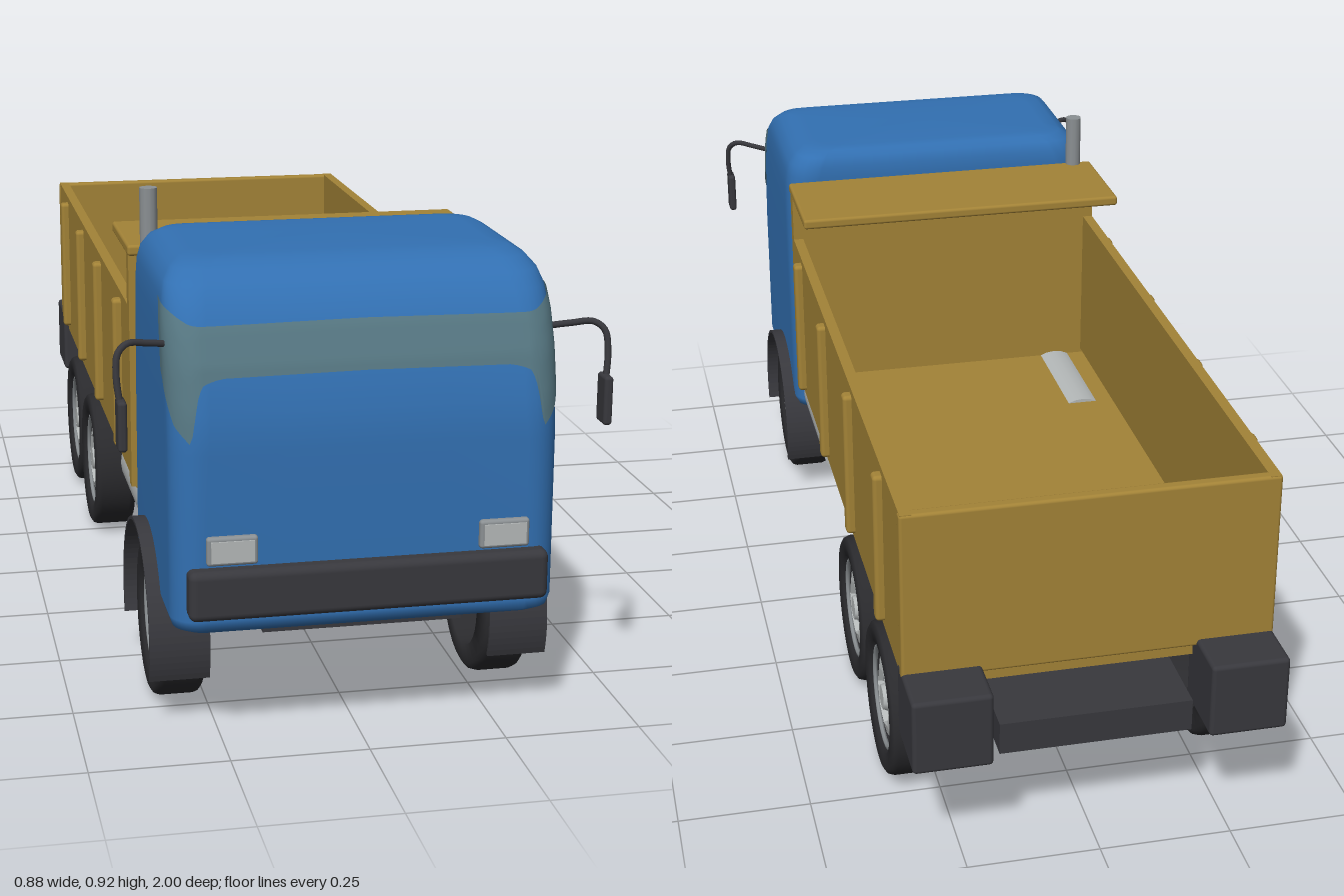
import * as THREE from 'three';
import { RoundedBoxGeometry } from 'three/addons/geometries/RoundedBoxGeometry.js';

const mat = (name, color, side = THREE.FrontSide) => {
  const m = new THREE.MeshStandardMaterial({ color, side });
  m.name = name;
  return m;
};

// Cab sections: height, half width, front z, back z, corner radius
const SECTIONS = [
  [0.222, 0.322, 0.95, 0.49, 0.04], [0.232, 0.339, 0.967, 0.476, 0.045],
  [0.25, 0.345, 0.972, 0.47, 0.05], [0.55, 0.345, 0.975, 0.47, 0.055],
  [0.62, 0.345, 0.969, 0.47, 0.06], [0.7, 0.345, 0.95, 0.47, 0.06],
  [0.76, 0.344, 0.926, 0.47, 0.06], [0.8, 0.341, 0.902, 0.47, 0.06],
  [0.825, 0.334, 0.877, 0.472, 0.06], [0.845, 0.318, 0.847, 0.48, 0.055],
  [0.856, 0.297, 0.815, 0.495, 0.05], [0.86, 0.265, 0.78, 0.52, 0.05],
];

// Linear interpolation in a table of rows sorted by their first value
function lookUp(table, v) {
  let i = 0;
  while (i < table.length - 2 && v > table[i + 1][0]) i++;
  const t = THREE.MathUtils.clamp((v - table[i][0]) / (table[i + 1][0] - table[i][0]), 0, 1);
  return table[i].map((p, k) => p + (table[i + 1][k] - p) * t);
}

// Point on the cab skin. |a|: 0-1 front, 1-2 front corner, 2-3 side, 3-4 back corner, 4-5 back
function cabPoint(y, a, offset = 0) {
  let [, w, f, b, r] = lookUp(SECTIONS, y);
  w += offset; f += offset; r += offset;
  const s = Math.abs(a), q = Math.PI / 2;
  let x, z;
  if (s < 1) { x = (w - r) * s; z = f; }
  else if (s < 2) { x = w - r + r * Math.sin((s - 1) * q); z = f - r + r * Math.cos((s - 1) * q); }
  else if (s < 3) { x = w; z = f - r + (b - f + 2 * r) * (s - 2); }
  else if (s < 4) { x = w - r + r * Math.cos((s - 3) * q); z = b + r - r * Math.sin((s - 3) * q); }
  else { x = (w - r) * (5 - s); z = b; }
  return [Math.sign(a) * x, y, z];
}

// Skin over a list of rows of points, each row running the same way round
function skin(rows, closed, caps) {
  const n = rows[0].length, pos = rows.flat(2), index = [];
  for (let j = 0; j < rows.length - 1; j++) {
    for (let i = 0; i < (closed ? n : n - 1); i++) {
      const a = j * n + i, b = j * n + (i + 1) % n;
      index.push(a, b, a + n, b, b + n, a + n);
    }
  }
  if (caps) {
    const top = (rows.length - 1) * n, c = pos.length / 3;
    pos.push(0, caps[0], 0.7, 0, caps[1], 0.65);
    for (let i = 0; i < n; i++) {
      const k = (i + 1) % n;
      index.push(c, k, i, c + 1, top + i, top + k);
    }
  }
  const g = new THREE.BufferGeometry();
  g.setAttribute('position', new THREE.Float32BufferAttribute(pos, 3));
  g.setIndex(index);
  g.computeVertexNormals();
  return g;
}

export function createModel() {
  const model = new THREE.Group();
  model.name = 'dumpTruck';
  const blue = mat('cabBlue', 0x3270b2);
  const gold = mat('bedGold', 0xa38337);
  const dark = mat('darkPlastic', 0x38383d);
  const rubber = mat('tyreRubber', 0x2a2a2d, THREE.DoubleSide);
  const glass = mat('tintedGlass', 0x567782, THREE.DoubleSide);
  const silver = mat('silver', 0xb4b8b8);
  const steel = mat('steel', 0x8b9093, THREE.DoubleSide);

  const add = (name, geo, material, x = 0, y = 0, z = 0, parent = model) => {
    const m = new THREE.Mesh(geo, material);
    m.name = name;
    m.position.set(x, y, z);
    parent.add(m);
    return m;
  };
  // Box given by its limits, with optional rounded edges
  const box = (name, material, [x0, x1], [y0, y1], [z0, z1], r = 0) => {
    const size = [x1 - x0, y1 - y0, z1 - z0];
    const geo = r ? new RoundedBoxGeometry(...size, 3, r) : new THREE.BoxGeometry(...size);
    return add(name, geo, material, (x0 + x1) / 2, (y0 + y1) / 2, (z0 + z1) / 2);
  };
  const mirrorX = (s, a, b) => (s > 0 ? [a, b] : [-b, -a]);

  // Cab shell
  const half = [0.5, 0.97];
  for (let i = 0; i <= 8; i++) half.push(1 + i / 8);
  half.push(2.05, 2.5, 2.95);
  for (let i = 0; i <= 6; i++) half.push(3 + i / 6);
  half.push(4.03, 4.5);
  const around = [1e-6, ...half, 5, ...half.slice().reverse().map((a) => -a)];
  add('cab', skin(SECTIONS.map(([y]) => around.map((a) => cabPoint(y, a))), true, [0.222, 0.863]), blue);

  // Wraparound windscreen band: position round the cab, lower edge, upper edge
  const BAND = [[0, 0.684, 0.768], [0.9, 0.681, 0.765], [1.05, 0.668, 0.765], [1.15, 0.64, 0.766],
    [1.24, 0.57, 0.768], [1.6, 0.6, 0.785], [2.05, 0.68, 0.8]];
  const stations = [];
  for (let i = -42; i <= 42; i++) stations.push((i / 42) * 2.05);
  const bandRows = [];
  for (let j = 0; j <= 10; j++) {
    bandRows.push(stations.map((a) => {
      const [, lo, hi] = lookUp(BAND, Math.abs(a));
      return cabPoint(lo + (hi - lo) * j / 10, a, 0.003);
    }));
  }
  add('windscreen', skin(bandRows, false), glass);

  // Chassis, bumper and exhaust stack
  box('chassis', dark, [-0.18, 0.18], [0.207, 0.27], [-0.955, 0.93]);
  box('frontBumper', dark, [-0.32, 0.32], [0.259, 0.35], [0.95, 1], 0.014);
  add('exhaustStack', new THREE.CylinderGeometry(0.017, 0.017, 0.69, 12), steel, -0.305, 0.57, 0.435);

  // Load bed
  box('bedFloor', gold, [-0.335, 0.335], [0.32, 0.343], [-0.88, 0.43]);
  box('tailgate', gold, [-0.347, 0.347], [0.35, 0.685], [-0.902, -0.878], 0.006);
  box('headboard', gold, [-0.345, 0.345], [0.325, 0.79], [0.405, 0.435]);
  box('bedCanopy', gold, [-0.347, 0.347], [0.785, 0.806], [0.203, 0.443], 0.006);

  // Tyre, rim and hub shapes, axis along y with the outer side up
  const lathe = (pts, n) => new THREE.LatheGeometry(pts.map((p) => new THREE.Vector2(...p)), n);
  const tyre = lathe([[0.1, 0.02], [0.1, -0.045], [0.138, -0.045], [0.147, -0.039], [0.15, -0.03],
    [0.15, 0.03], [0.147, 0.039], [0.138, 0.045], [0.108, 0.041], [0.1, 0.02]], 28);
  const rimDisc = new THREE.CylinderGeometry(0.101, 0.101, 0.012, 24);
  const rimLip = new THREE.TorusGeometry(0.099, 0.005, 6, 24).rotateX(Math.PI / 2);
  const rimRing = lathe([[0.09, 0.018], [0.084, 0.028], [0.058, 0.034], [0.052, 0.018]], 8).toNonIndexed();
  rimRing.computeVertexNormals();
  const hub = new THREE.CylinderGeometry(0.024, 0.03, 0.022, 12);

  // Wheel arch strip
  const arch = new THREE.Shape();
  const end = THREE.MathUtils.degToRad(19);
  arch.absarc(0, 0, 0.185, -end, Math.PI + end, false);
  arch.absarc(0, 0, 0.179, Math.PI + end, -end, true);
  const archGeo = new THREE.ExtrudeGeometry(arch, { depth: 0.11, bevelEnabled: false, curveSegments: 28 });
  archGeo.rotateY(-Math.PI / 2).translate(0.055, 0, 0);

  for (const s of [1, -1]) {
    const side = s > 0 ? 'left' : 'right';
    for (const z of [0.665, -0.31, -0.645]) {
      const wheel = new THREE.Group();
      wheel.name = side + 'Wheel';
      wheel.position.set(s * 0.305, 0.15, z);
      wheel.rotation.z = -s * Math.PI / 2;
      model.add(wheel);
      add('tyre', tyre, rubber, 0, 0, 0, wheel);
      add('rimDisc', rimDisc, dark, 0, 0.012, 0, wheel);
      add('rimLip', rimLip, steel, 0, 0.032, 0, wheel);
      add('rimRing', rimRing, silver, 0, 0, 0, wheel);
      add('hub', hub, silver, 0, 0.026, 0, wheel);
      // Wheel nuts
      for (let i = 0; i < 8; i++) {
        const a = (i + 0.5) * Math.PI / 4;
        add('wheelNut', new THREE.BoxGeometry(0.008, 0.01, 0.008), steel,
          0.041 * Math.cos(a), 0.021, 0.041 * Math.sin(a), wheel);
      }
    }
    add(side + 'Fender', archGeo, dark, s * 0.315, 0.15, 0.665);

    // Bed side with ribs
    box(side + 'BedSide', gold, mirrorX(s, 0.324, 0.345), [0.352, 0.685], [-0.9, 0.42]);
    for (const z of [0.295, -0.04, -0.375, -0.71]) {
      box(side + 'BedRib', gold, mirrorX(s, 0.335, 0.362), [0.368, 0.67], [z - 0.015, z + 0.015], 0.008);
    }

    // Fuel tank and rear block
    const tank = new THREE.CylinderGeometry(0.07, 0.07, 0.31, 24).rotateX(Math.PI / 2);
    add(side + 'FuelTank', tank, silver, s * 0.26, 0.281, 0.295);
    box(side + 'RearBlock', dark, mirrorX(s, 0.2, 0.347), [0.216, 0.364], [-1, -0.857], 0.008);

    // Headlight with lens
    box(side + 'HeadlightFrame', steel, mirrorX(s, 0.197, 0.287), [0.355, 0.407], [0.95, 0.984], 0.006);
    box(side + 'HeadlightLens', silver, mirrorX(s, 0.204, 0.28), [0.362, 0.4], [0.979, 0.987]);

    // Mirror on a bent arm
    const path = new THREE.CatmullRomCurve3([[0.335, 0.729, 0.89], [0.375, 0.737, 0.908], [0.41, 0.742, 0.924],
      [0.428, 0.728, 0.934], [0.432, 0.69, 0.942], [0.427, 0.64, 0.95]].map(([x, y, z]) => new THREE.Vector3(s * x, y, z)));
    add(side + 'MirrorArm', new THREE.TubeGeometry(path, 24, 0.006, 8), dark);
    box(side + 'Mirror', dark, mirrorX(s, 0.418, 0.434), [0.565, 0.653], [0.93, 0.974], 0.006);
  }
  return model;
}
